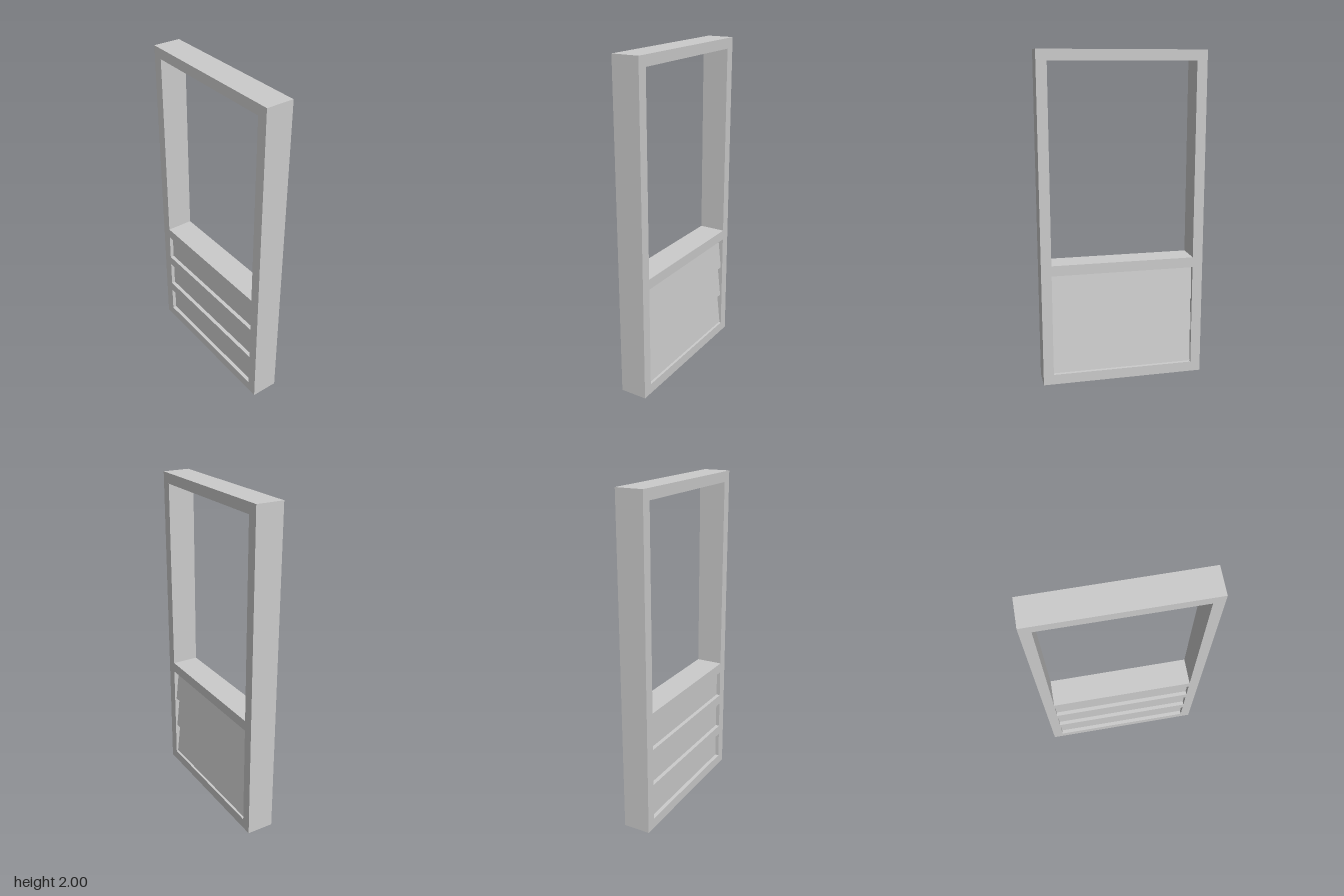
import * as THREE from 'three';

const H = 2, HALF_Z = 0.5, HALF_X = 0.083, BAR = 0.0625;
const INNER = HALF_Z - BAR;           // half width of the openings
const MID_BOTTOM = 0.691, MID_TOP = 0.754;

const material = new THREE.MeshStandardMaterial({ color: 0xcccccc, flatShading: true });

function addBox(group, name, x0, x1, y0, y1, halfZ) {
  const mesh = new THREE.Mesh(new THREE.BoxGeometry(x1 - x0, y1 - y0, 2 * halfZ), material);
  mesh.position.set((x0 + x1) / 2, (y0 + y1) / 2, 0);
  mesh.name = name;
  group.add(mesh);
}

function rectangle(path, x0, x1, y0, y1) {
  path.moveTo(x0, y0);
  path.lineTo(x1, y0);
  path.lineTo(x1, y1);
  path.lineTo(x0, y1);
  path.closePath();
  return path;
}

export function createModel() {
  const group = new THREE.Group();
  group.name = 'louvredDoorFrame';

  // Outer frame with a tall open window and a lower panel opening
  const outline = rectangle(new THREE.Shape(), -HALF_Z, HALF_Z, 0, H);
  outline.holes.push(
    rectangle(new THREE.Path(), -INNER, INNER, MID_TOP, H - BAR),
    rectangle(new THREE.Path(), -INNER, INNER, BAR, MID_BOTTOM)
  );
  const frameGeometry = new THREE.ExtrudeGeometry(outline, { depth: 2 * HALF_X, bevelEnabled: false });
  frameGeometry.translate(0, 0, -HALF_X).rotateY(Math.PI / 2);
  const frame = new THREE.Mesh(frameGeometry, material);
  frame.name = 'frame';
  group.add(frame);

  // Solid core filling the lower opening, recessed on both sides
  const coreBack = -HALF_X + 0.024, coreFront = HALF_X - 0.04;
  addBox(group, 'lowerPanel', coreBack, coreFront, BAR, MID_BOTTOM, INNER);

  // Two rails dividing the back of the panel into three recesses
  const recess = (MID_BOTTOM - BAR - 2 * BAR) / 3;
  for (let i = 1; i <= 2; i++) {
    const y = BAR + i * recess + (i - 1) * BAR;
    addBox(group, 'backRail' + i, -HALF_X, coreBack, y, y + BAR, INNER);
  }

  // Three overlapping slats whose lower edges lean outwards
  const slatBottom = 0.068, pitch = (MID_BOTTOM - slatBottom) / 3;
  const profile = new THREE.Shape();
  profile.moveTo(coreFront - 0.01, 0);
  profile.lineTo(HALF_X - 0.011, 0);
  profile.lineTo(HALF_X - 0.034, pitch);
  profile.lineTo(coreFront - 0.01, pitch);
  profile.closePath();
  const slatGeometry = new THREE.ExtrudeGeometry(profile, { depth: 2 * INNER, bevelEnabled: false });
  slatGeometry.translate(0, 0, -INNER);
  for (let i = 0; i < 3; i++) {
    const slat = new THREE.Mesh(slatGeometry, material);
    slat.position.y = slatBottom + i * pitch;
    slat.name = 'slat' + (i + 1);
    group.add(slat);
  }
  return group;
}
